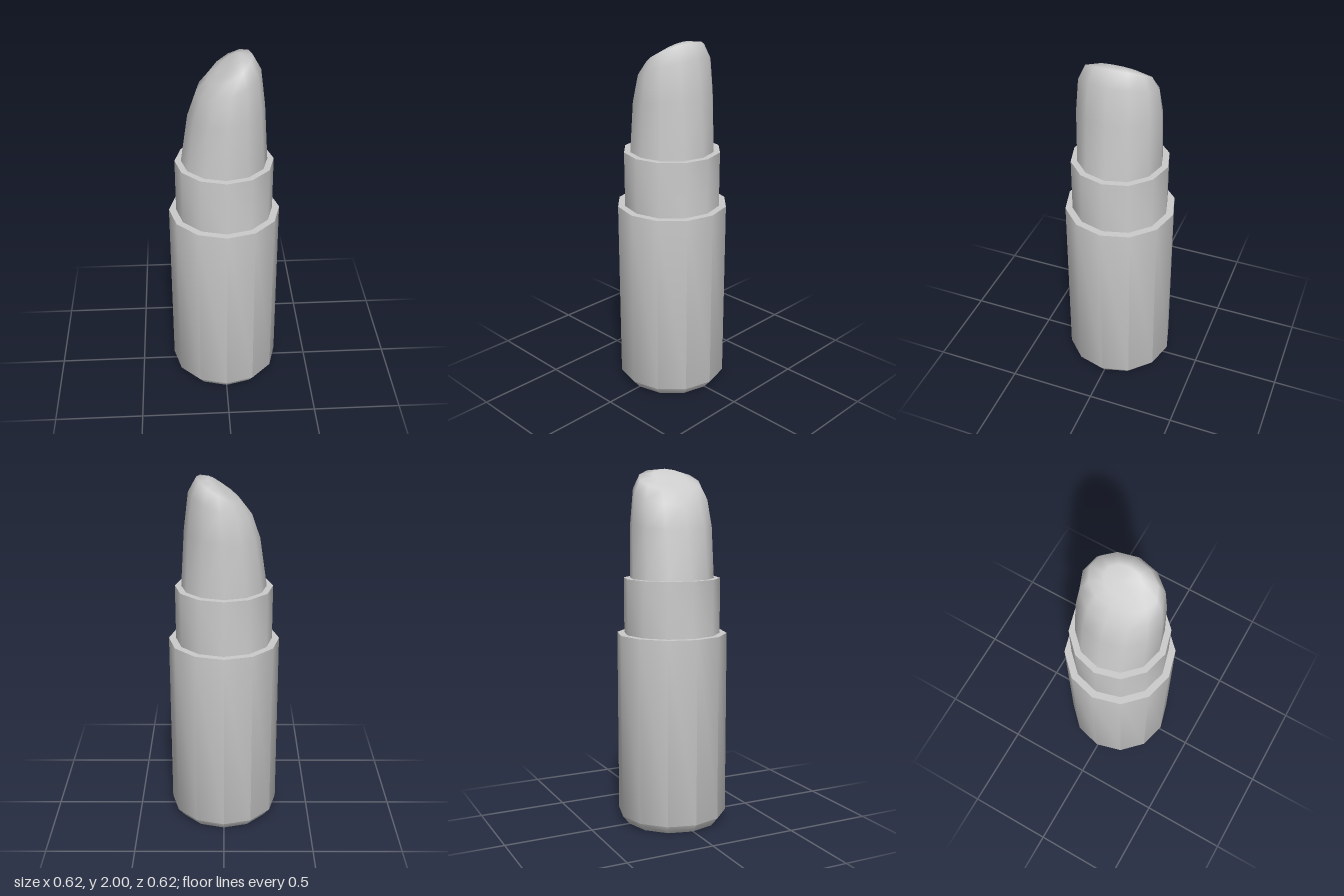
import * as THREE from 'three';
import { toCreasedNormals } from 'three/addons/utils/BufferGeometryUtils.js';

const SIDES = 12;
const material = new THREE.MeshStandardMaterial({ color: 0xcccccc });

// Turned part from [radius, height] pairs, smooth around and sharp at the rims
function turned(name, profile) {
  const points = profile.map(([r, y]) => new THREE.Vector2(r, y));
  const geometry = toCreasedNormals(new THREE.LatheGeometry(points, SIDES), 0.75);
  const mesh = new THREE.Mesh(geometry, material);
  mesh.name = name;
  return mesh;
}

// Bullet lofted through tilted oval rings, closed by a centre point
function bullet() {
  // left x, left y, right x, right y, half depth
  const rings = [
    [-0.235, 1.4, 0.235, 1.4, 0.235],
    [-0.195, 1.67, 0.215, 1.72, 0.233],
    [-0.15, 1.8, 0.19, 1.92, 0.217],
    [-0.09, 1.87, 0.145, 2.0, 0.18],
    [-0.04, 1.906, 0.09, 2.0, 0.1],
  ];
  const positions = [];
  const index = [];
  for (const [lx, ly, rx, ry, depth] of rings) {
    for (let j = 0; j < SIDES; j++) {
      const a = (j / SIDES) * Math.PI * 2;
      const t = (1 + Math.cos(a)) / 2;
      positions.push(lx + (rx - lx) * t, ly + (ry - ly) * t, depth * Math.sin(a));
    }
  }
  const last = (rings.length - 1) * SIDES;
  const tip = positions.length / 3;
  positions.push(0.025, 1.954, 0);
  for (let j = 0; j < SIDES; j++) {
    const k = (j + 1) % SIDES;
    for (let row = 0; row < last; row += SIDES) {
      const a = row + j, b = row + k, c = a + SIDES, d = b + SIDES;
      index.push(a, c, b, b, c, d);
    }
    index.push(last + j, tip, last + k);
  }
  const geometry = new THREE.BufferGeometry();
  geometry.setAttribute('position', new THREE.Float32BufferAttribute(positions, 3));
  geometry.setIndex(index);
  geometry.computeVertexNormals();
  const mesh = new THREE.Mesh(geometry, material);
  mesh.name = 'bullet';
  return mesh;
}

export function createModel() {
  const group = new THREE.Group();
  group.name = 'lipstick';
  group.add(
    // Base case with a bevelled foot and a flat shoulder
    turned('case', [[0, 0], [0.27, 0], [0.31, 0.05], [0.31, 1.09], [0.27, 1.09]]),
    // Inner collar with a flat rim around the bullet
    turned('collar', [[0.27, 1.09], [0.27, 1.4], [0.235, 1.4]]),
    bullet(),
  );
  return group;
}
